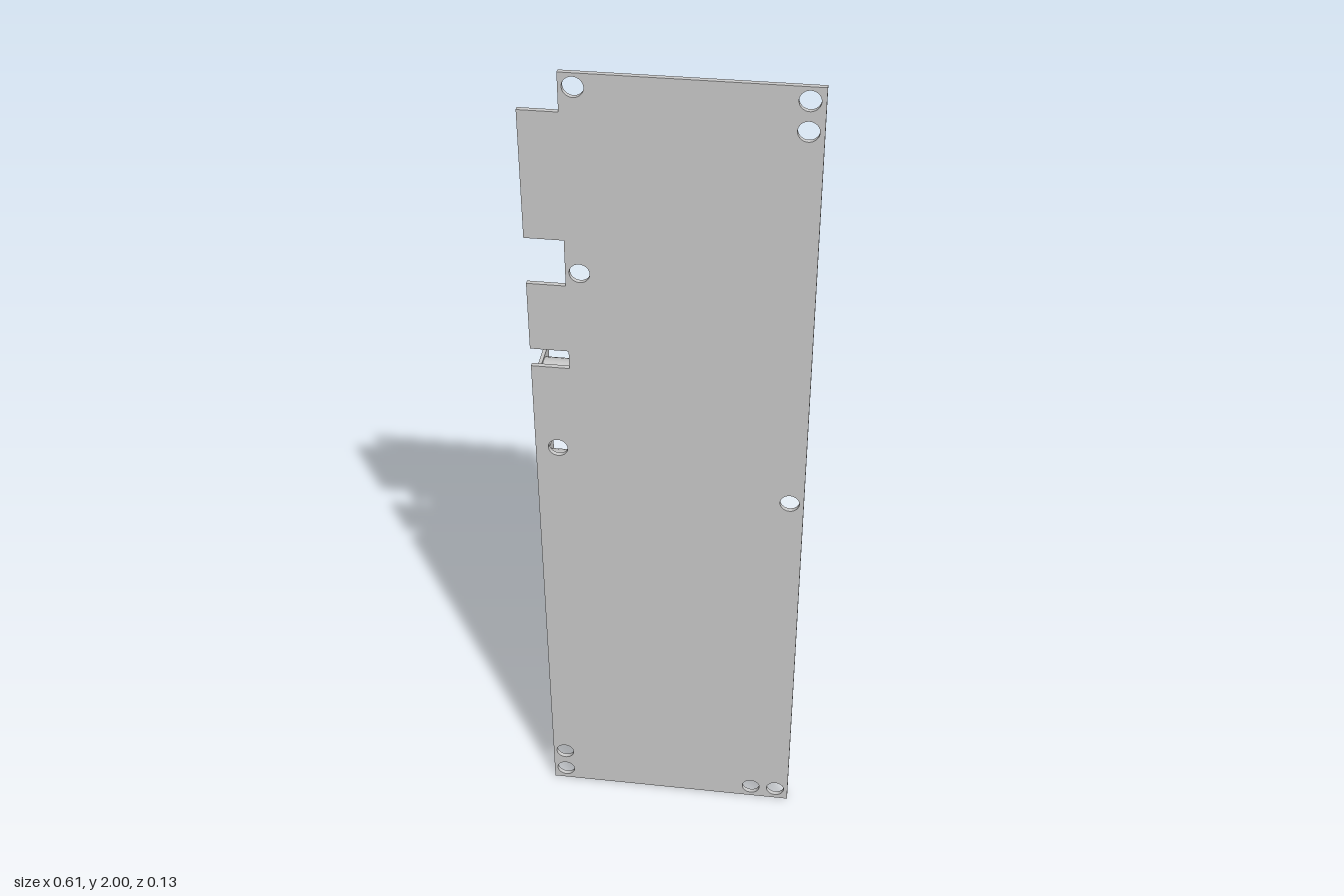
import * as THREE from 'three';

const mat = new THREE.MeshStandardMaterial({ color: 0xcccccc, flatShading: true });
const smooth = new THREE.MeshStandardMaterial({ color: 0xcccccc });

function add(parent, name, geo, x = 0, y = 0, z = 0, m = mat) {
  const mesh = new THREE.Mesh(geo, m);
  mesh.name = name;
  mesh.position.set(x, y, z);
  parent.add(mesh);
  return mesh;
}

// Box resting at height z0 and rising to z1
function block(parent, name, x, y, w, h, z0, z1) {
  return add(parent, name, new THREE.BoxGeometry(w, h, z1 - z0), x, y, (z0 + z1) / 2);
}

// Box narrowed towards its top
function taperedBlock(w, h, depth, inset) {
  const geo = new THREE.BoxGeometry(w, h, depth);
  const p = geo.attributes.position;
  for (let i = 0; i < p.count; i++) {
    if (p.getZ(i) > 0) {
      p.setX(i, p.getX(i) * (1 - inset / w));
      p.setY(i, p.getY(i) * (1 - inset / h));
    }
  }
  geo.computeVertexNormals();
  return geo;
}

function rectPath(target, x0, y0, x1, y1) {
  target.moveTo(x0, y0);
  target.lineTo(x1, y0);
  target.lineTo(x1, y1);
  target.lineTo(x0, y1);
  target.closePath();
  return target;
}

// Chip with a row of stepped legs along both long sides
function chip(parent, name, x, y, length, legs, upright, top = 0.052) {
  const g = new THREE.Group();
  g.name = name;
  g.position.set(-x, y, 0);
  if (upright) g.rotation.z = Math.PI / 2;
  parent.add(g);
  add(g, 'chipBody', taperedBlock(length, 0.066, top - 0.003, 0.016), 0, 0, (top + 0.003) / 2);
  const pitch = 0.029;
  for (let i = 0; i < legs; i++) {
    const lx = (i - (legs - 1) / 2) * pitch;
    for (const s of [-1, 1]) {
      block(g, 'chipLegFoot', lx, s * 0.041, 0.008, 0.006, 0, 0.009);
      block(g, 'chipLeg', lx, s * 0.041, 0.017, 0.006, 0.009, top - 0.018);
      block(g, 'chipLegShoulder', lx, s * 0.035, 0.008, 0.018, top - 0.018, top - 0.006);
    }
  }
}

// Shallow open frame holding a raised chip
function socket(parent, x0, x1, y0, y1, c0, c1) {
  const g = new THREE.Group();
  g.name = 'socket';
  parent.add(g);
  const shape = rectPath(new THREE.Shape(), -x1, y0, -x0, y1);
  shape.holes.push(rectPath(new THREE.Path(), -c1, y0 + 0.022, -c0, y1 - 0.022));
  add(g, 'socketFrame', new THREE.ExtrudeGeometry(shape, { depth: 0.031, bevelEnabled: false }));
  const cx = -(c0 + c1) / 2, cy = (y0 + y1) / 2, w = c1 - c0, h = y1 - y0 - 0.044;
  block(g, 'socketFloor', cx, cy, w, h, 0, 0.014);
  add(g, 'socketChip', taperedBlock(w - 0.016, h - 0.024, 0.036, 0.008), cx, cy, 0.03);
  const n = Math.floor((w - 0.02) / 0.029);
  for (let i = 0; i < n; i++) {
    for (const s of [-1, 1]) {
      block(g, 'socketContact', cx + (i - (n - 1) / 2) * 0.029, cy + s * (h / 2 - 0.006), 0.011, 0.013, 0.014, 0.038);
    }
  }
}

export function createModel() {
  const model = new THREE.Group();
  model.name = 'circuitBoard';

  // Board with edge notches and mounting holes
  const outline = [
    [-0.305, 0], [0.305, 0], [0.305, 2], [-0.22, 2], [-0.22, 1.915], [-0.305, 1.915],
    [-0.305, 1.625], [-0.22, 1.625], [-0.22, 1.515], [-0.305, 1.515],
    [-0.305, 1.35], [-0.22, 1.35], [-0.22, 1.305], [-0.305, 1.305],
  ];
  const board = new THREE.Shape(outline.map(([x, y]) => new THREE.Vector2(x, y)));
  const holes = [
    [-0.19, 1.97], [0.273, 1.97], [0.273, 1.905], [-0.19, 1.548], [-0.254, 1.086],
    [0.273, 0.98], [-0.275, 0.097], [-0.275, 0.033], [0.21, 0.033], [0.273, 0.033],
  ];
  for (const [x, y] of holes) board.holes.push(new THREE.Path().absarc(x, y, 0.022, 0, Math.PI * 2, true));
  add(model, 'board', new THREE.ExtrudeGeometry(board, { depth: 0.011, bevelEnabled: false, curveSegments: 24 }), 0, 0, 0.055);

  // Components sit on the back: local z is the height above the board
  const back = new THREE.Group();
  back.name = 'components';
  back.position.z = 0.055;
  back.rotation.y = Math.PI;
  model.add(back);

  // Upper chips
  chip(back, 'tallChip', -0.177, 1.775, 0.28, 9, true);
  chip(back, 'tallChip', -0.051, 1.75, 0.23, 7, true);
  chip(back, 'slimChip', 0.06, 1.78, 0.26, 8, true, 0.04);
  // Small and lower chips
  chip(back, 'smallChip', 0.198, 1.835, 0.122, 4, false);
  chip(back, 'smallChip', 0.198, 1.71, 0.122, 4, false);
  chip(back, 'smallChip', 0.085, 1.16, 0.122, 4, false, 0.042);
  chip(back, 'smallChip', 0.188, 0.885, 0.122, 4, false, 0.042);
  chip(back, 'smallChip', 0.154, 0.465, 0.122, 4, true);
  chip(back, 'tallChip', -0.005, 0.387, 0.27, 9, true);

  // Framed sockets
  socket(back, -0.165, 0.133, 1.475, 1.603, -0.13, 0.1);
  socket(back, -0.015, 0.208, 1.25, 1.39, 0.015, 0.18);
  socket(back, -0.042, 0.246, 0.974, 1.1, -0.01, 0.225);
  socket(back, -0.08, 0.192, 0.647, 0.797, 0.01, 0.17);

  // Round jacks with square end plates
  for (const y of [1.214, 0.957]) {
    const barrel = add(back, 'jackBarrel', new THREE.CylinderGeometry(0.056, 0.056, 0.122, 32), 0.233, y, 0.062, smooth);
    barrel.rotation.z = Math.PI / 2;
    block(back, 'jackPlate', 0.297, y, 0.008, 0.121, 0, 0.123);
  }

  // Large edge connector with a comb of bent pins
  block(back, 'edgeConnector', 0.232, 0.39, 0.13, 0.36, 0, 0.123);
  for (let i = 0; i < 10; i++) {
    const y = 0.246 + i * 0.0335;
    block(back, 'connectorPin', 0.143, y, 0.057, 0.013, 0.064, 0.077);
    block(back, 'connectorPinLeg', 0.121, y, 0.012, 0.013, 0, 0.064);
  }

  // Bottom edge sockets
  for (const [x, w] of [[0.079, 0.103], [-0.057, 0.104], [-0.148, 0.036], [-0.203, 0.036]]) {
    block(back, 'bottomSocket', -x, 0.035, w, 0.07, 0, 0.059);
  }

  // Flat surface parts
  const flats = [
    [0.225, 1.586, 0.06, 0.024], [0.209, 1.522, 0.065, 0.038], [0.225, 1.435, 0.06, 0.024],
    [-0.055, 1.225, 0.042, 0.026], [-0.14, 1.196, 0.042, 0.026], [-0.14, 1.118, 0.042, 0.026],
    [-0.14, 0.864, 0.042, 0.026], [0.164, 0.306, 0.04, 0.024], [0.125, 0.23, 0.04, 0.024],
  ];
  for (const [x, y, w, h] of flats) block(back, 'surfacePart', -x, y, w, h, 0, 0.01);

  // Upright round capacitors
  for (const [x, y] of [[-0.035, 0.904], [-0.157, 0.66], [-0.067, 0.588]]) {
    const can = add(back, 'roundCapacitor', new THREE.CylinderGeometry(0.026, 0.026, 0.03, 24), -x, y, 0.015, smooth);
    can.rotation.x = Math.PI / 2;
  }

  // Bead capacitors on a thin lead
  for (const [x, y] of [[-0.045, 1.365], [-0.078, 1.075], [-0.122, 0.742], [-0.193, 1.595]]) {
    const bead = add(back, 'beadCapacitor', new THREE.SphereGeometry(0.02, 16, 10), -x, y, 0.016, smooth);
    bead.scale.set(1.1, 0.55, 0.8);
    block(back, 'beadLead', -x - 0.03, y, 0.03, 0.006, 0.01, 0.016);
    block(back, 'beadLeadFoot', -x - 0.042, y, 0.006, 0.006, 0, 0.01);
  }

  return model;
}
